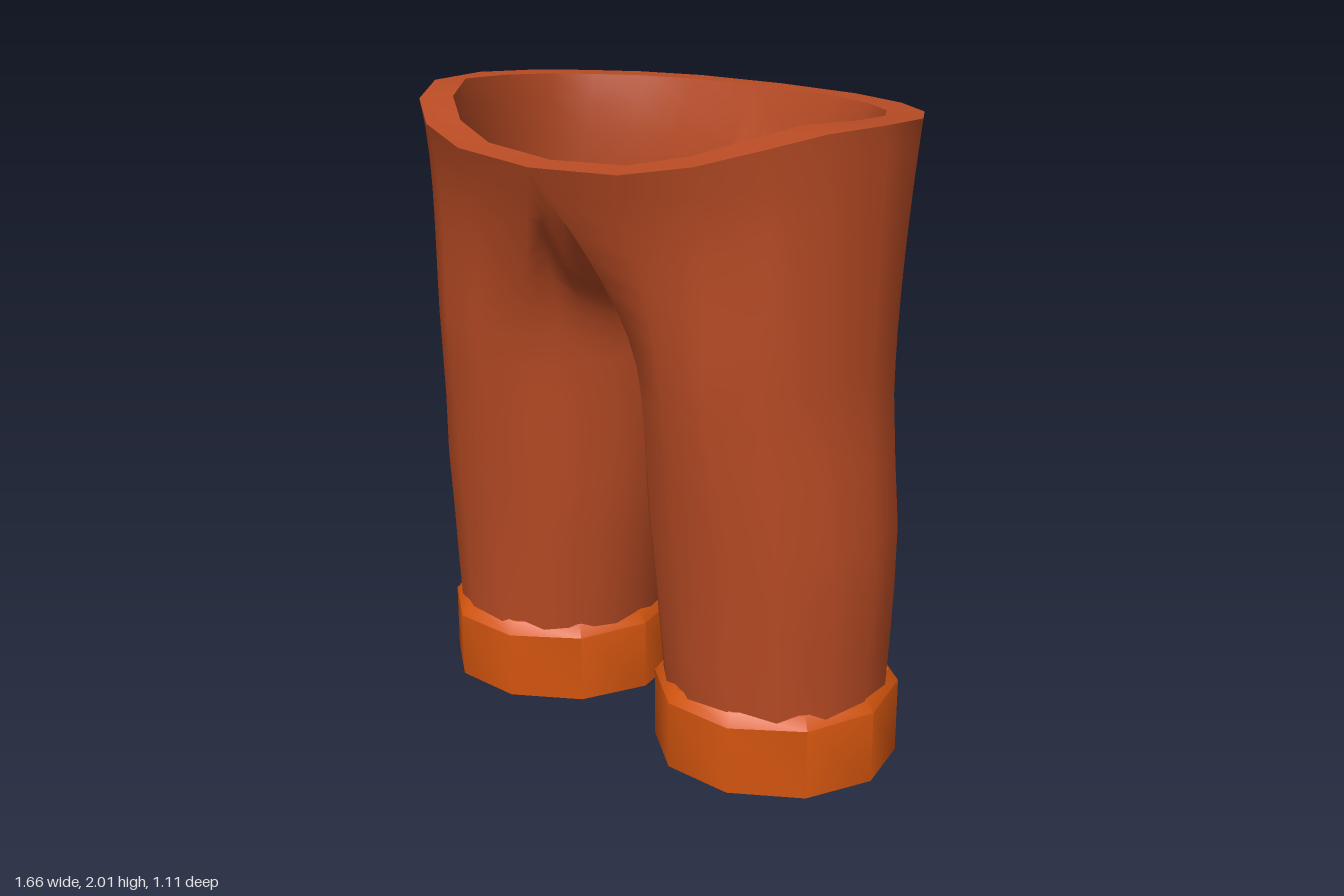
import * as THREE from 'three';
import { mergeVertices, toCreasedNormals } from 'three/addons/utils/BufferGeometryUtils.js';

const OUTER = 10, INNER = 8, COLS = OUTER + INNER; // columns on the outside and inside of a leg
const CORNER = 125 * Math.PI / 180;                // leg angle that runs up to the waist centre

// Leg cross-sections: y, inner x, outer x, back z, front z
const LEG = [
  [0.25, 0.125, 0.8, 0.365, 0.345],
  [0.42, 0.11, 0.81, 0.37, 0.355],
  [0.6, 0.09, 0.818, 0.375, 0.365],
  [0.8, 0.075, 0.82, 0.378, 0.385],
  [1.0, 0.077, 0.8, 0.378, 0.405],
  [1.2, 0.08, 0.785, 0.377, 0.43],
];
// Centre seam from front waist, under the crotch, to back waist: y, z
const SEAM = [[1.72, 0.48], [1.56, 0.41], [1.46, 0.25], [1.43, 0], [1.46, -0.22], [1.55, -0.34], [1.72, -0.44]];

const legAngle = (j) => j <= OUTER
  ? CORNER - (2 * CORNER * j) / OUTER
  : -CORNER - ((2 * Math.PI - 2 * CORNER) * (j - OUTER)) / INNER;

function legPoint([y, xIn, xOut, zBack, zFront], j, lining) {
  const a = legAngle(j), inset = lining ? 0.015 : 0;
  const r = (xOut - xIn) / 2 - inset, s = Math.sin(a);
  return new THREE.Vector3((xIn + xOut) / 2 + r * Math.cos(a), y, s * ((s > 0 ? zFront : zBack) - inset));
}

// Waist edge: a squarish oval, dipping at the front
function rimPoint(j, lining) {
  const p = (Math.PI * j) / OUTER, c = Math.cos(p);
  const ux = Math.pow(Math.abs(Math.sin(p)), 0.8), uz = Math.sign(c) * Math.pow(Math.abs(c), 0.8);
  const z = 0.557 * uz;
  const y = z > 0.2 ? 2 - 0.135 * ((z - 0.2) / 0.357) ** 1.8 : 2 - 0.02 * Math.min(1, Math.max(0, -z / 0.4));
  return new THREE.Vector3(ux * (lining ? 0.69 : 0.8), y + (lining && z > 0.2 ? 0.01 : 0), uz * (lining ? 0.473 : 0.557));
}

// Curve from the top leg section to the waist edge or the centre seam
function hipCurve(j, lining) {
  const p0 = legPoint(LEG[LEG.length - 1], j, lining);
  const p1 = p0.clone(), p3 = new THREE.Vector3();
  let p2;
  if (j <= OUTER) {
    p3.copy(rimPoint(j, lining));
    const f = p3.z / 0.557;
    p1.y += 0.25;
    p1.z += f > 0 ? 0.025 * f : -0.015 * f;
    p2 = p3.clone();
    p2.y -= 0.22;
    p2.z -= (f > 0 ? 0.09 : 0.11) * f;
    if (j === 0 || j === OUTER) p2.x += 0.1;
  } else {
    const [y, z] = SEAM[SEAM.length - (j - OUTER)];
    p3.set(0, y + (lining ? 0.04 : 0), z * (lining ? 0.87 : 1));
    p1.y += 0.6 * (y - p0.y);
    p2 = p3.clone();
    p2.x += 0.55 * p0.x;
  }
  return new THREE.CubicBezierCurve3(p0, p1, p2, p3);
}

function gridGeometry(positions, index) {
  const g = new THREE.BufferGeometry();
  g.setAttribute('position', new THREE.Float32BufferAttribute(positions, 3));
  g.setIndex(index);
  const merged = mergeVertices(g, 1e-4);
  merged.computeVertexNormals();
  return merged;
}

function addQuad(index, a, b, c, d, flip) {
  if (flip) index.push(a, c, b, b, c, d);
  else index.push(a, b, c, b, d, c);
}

// Both legs and the hips as one skin, welded along the centre seam
function trouserSkin(lining) {
  const positions = [], index = [], steps = 8;
  const curves = Array.from({ length: COLS }, (_, j) => hipCurve(j, lining));
  for (const side of [1, -1]) {
    const base = positions.length / 3;
    const rows = LEG.length + steps;
    for (let i = 0; i < rows; i++) {
      for (let j = 0; j < COLS; j++) {
        const p = i < LEG.length ? legPoint(LEG[i], j, lining) : curves[j].getPoint((i - LEG.length + 1) / steps);
        positions.push(side * p.x, p.y, p.z);
      }
    }
    for (let i = 0; i < rows - 1; i++) {
      for (let j = 0; j < COLS; j++) {
        const a = base + i * COLS + j, b = base + i * COLS + (j + 1) % COLS;
        addQuad(index, a, b, a + COLS, b + COLS, (side < 0) !== lining);
      }
    }
  }
  return gridGeometry(positions, index);
}

// Thick top edge between the outside and the lining
function waistEdge() {
  const positions = [], index = [];
  for (const side of [1, -1]) {
    const base = positions.length / 3;
    for (let j = 0; j <= OUTER; j++) {
      for (const lining of [false, true]) {
        const p = rimPoint(j, lining);
        positions.push(side * p.x, p.y, p.z);
      }
    }
    for (let j = 0; j < OUTER; j++) {
      const a = base + 2 * j;
      addQuad(index, a, a + 2, a + 1, a + 3, side < 0);
    }
  }
  return gridGeometry(positions, index);
}

// Ten-sided cuff with a sloping inside and a tilted hem
function cuffGeometry() {
  const profile = [[0.235, 0], [0.37, 0], [0.37, 0.255], [0.34, 0.293], [0.322, 0.29], [0.235, 0]]
    .map(([r, y]) => new THREE.Vector2(r, y));
  const g = new THREE.LatheGeometry(profile, 10, Math.PI / 2);
  g.scale(1, 1, 1.06);
  g.translate(0, 0, -0.01);
  const p = g.attributes.position;
  for (let i = 0; i < p.count; i++) {
    const z = p.getZ(i), y = p.getY(i);
    p.setY(i, y < 0.1 ? y + 0.025 + 0.065 * z : y + 0.02 * z);
  }
  return toCreasedNormals(g, 0.66);
}

export function createModel() {
  const rust = new THREE.MeshStandardMaterial({ color: 0xb84b24 });
  rust.name = 'rust cloth';
  const orange = new THREE.MeshStandardMaterial({ color: 0xd4550f });
  orange.name = 'orange cuff';

  const model = new THREE.Group();
  model.name = 'trousers';
  const add = (name, geometry, material) => {
    const mesh = new THREE.Mesh(geometry, material);
    mesh.name = name;
    model.add(mesh);
    return mesh;
  };

  add('trouserOutside', trouserSkin(false), rust);
  add('trouserLining', trouserSkin(true), rust);
  add('waistEdge', waistEdge(), rust);

  const cuff = cuffGeometry();
  add('leftCuff', cuff, orange).position.x = 0.46;
  add('rightCuff', cuff, orange).position.x = -0.46;
  return model;
}
